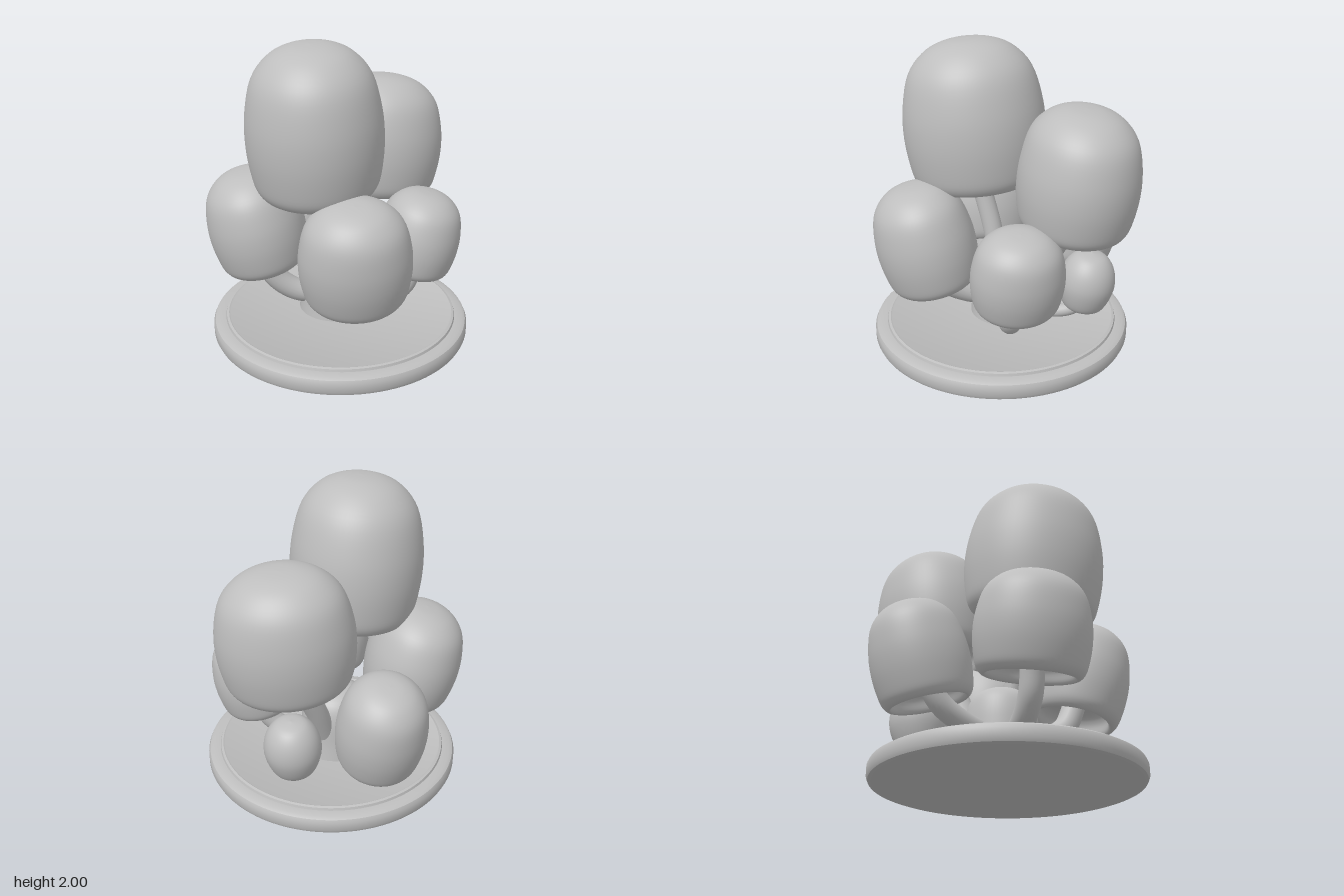
import * as THREE from 'three';
import { toCreasedNormals } from 'three/addons/utils/BufferGeometryUtils.js';

const V = (a) => new THREE.Vector3(...a);
const P = (list) => list.map(([r, y]) => new THREE.Vector2(r, y));

// Mushroom cap section: hollow underside, rolled rim, tall dome (unit radius and height)
const capProfile = new THREE.SplineCurve(P([
  [0, 0.22], [0.5, 0.2], [0.68, 0.13], [0.73, 0.03], [0.79, 0], [0.88, 0.035],
  [0.945, 0.12], [1, 0.33], [0.98, 0.55], [0.86, 0.78], [0.62, 0.92], [0.32, 0.985], [0, 1],
])).getPoints(56);
capProfile.forEach((p) => { p.x = Math.max(p.x, 0); });

export function createModel() {
  const model = new THREE.Group();
  const grey = new THREE.MeshStandardMaterial({ color: 0xbebebe });
  grey.name = 'clay grey';

  const add = (name, geometry, parent = model) => {
    const mesh = new THREE.Mesh(geometry, grey);
    mesh.name = name;
    parent.add(mesh);
    return mesh;
  };

  // Round plinth with a raised inner disc
  const base = add('base', toCreasedNormals(new THREE.LatheGeometry(P([
    [0, 0], [0.825, 0], [0.847, 0.008], [0.857, 0.03], [0.857, 0.085], [0.847, 0.107],
    [0.825, 0.12], [0.775, 0.122], [0.77, 0.138], [0.755, 0.143], [0.745, 0.138], [0, 0.138],
  ]), 96), 0.6));
  base.position.set(0.005, 0, 0.047);

  // Central trunk the stems grow from
  const trunk = add('trunk', new THREE.LatheGeometry(new THREE.SplineCurve(P([
    [0.25, 0.12], [0.235, 0.25], [0.225, 0.42], [0.19, 0.53], [0.11, 0.59], [0, 0.61],
  ])).getPoints(24), 48));
  trunk.position.set(-0.02, 0, 0);

  // centre, half widths (x, z), height, growing direction, stem path and stem radius
  const mushrooms = [
    { name: 'tallMushroom', at: [-0.17, 1.53, 0.185], rx: 0.43, rz: 0.46, h: 0.94, axis: [-0.05, 1, 0.06],
      stem: [[0, 0.4, 0.04], [-0.07, 0.75, 0.09], [-0.13, 1.05, 0.15], [-0.15, 1.35, 0.18]], r: 0.064 },
    { name: 'rearTallMushroom', at: [0.31, 1.255, -0.383], rx: 0.43, rz: 0.385, h: 0.79, axis: [0.07, 1, -0.07],
      stem: [[0.04, 0.25, -0.12], [0.12, 0.55, -0.24], [0.22, 0.82, -0.33], [0.28, 1.1, -0.37]], r: 0.072 },
    { name: 'rightMushroom', at: [-0.555, 0.835, 0.04], rx: 0.315, rz: 0.36, h: 0.65, axis: [-0.22, 1, 0],
      stem: [[-0.1, 0.24, 0.02], [-0.3, 0.29, 0.04], [-0.44, 0.41, 0.05], [-0.49, 0.55, 0.05], [-0.53, 0.75, 0.04]], r: 0.075 },
    { name: 'frontMushroom', at: [0.05, 0.8, 0.57], rx: 0.35, rz: 0.32, h: 0.68, axis: [-0.04, 1, 0.22],
      stem: [[-0.02, 0.26, 0.1], [-0.02, 0.31, 0.28], [-0.01, 0.39, 0.41], [0.01, 0.52, 0.48], [0.03, 0.72, 0.54]], r: 0.075 },
    { name: 'leftMushroom', at: [0.53, 0.71, 0.067], rx: 0.275, rz: 0.295, h: 0.545, axis: [0.2, 1, 0],
      stem: [[0.17, 0.21, 0.06], [0.31, 0.215, 0.07], [0.43, 0.3, 0.08], [0.48, 0.42, 0.08], [0.51, 0.62, 0.07]], r: 0.068 },
    { name: 'backMushroom', at: [-0.275, 0.69, -0.59], rx: 0.285, rz: 0.3, h: 0.64, axis: [-0.08, 1, -0.26],
      stem: [[-0.1, 0.27, -0.1], [-0.18, 0.31, -0.28], [-0.23, 0.39, -0.43], [-0.25, 0.5, -0.51], [-0.27, 0.65, -0.57]], r: 0.07 },
  ];

  const up = new THREE.Vector3(0, 1, 0);
  const addStem = (group, path, r) => {
    const curve = new THREE.CatmullRomCurve3(path.map(V));
    add('stem', new THREE.TubeGeometry(curve, 32, r, 20), group);
    add('stemRoot', new THREE.SphereGeometry(r, 20, 12), group).position.copy(V(path[0]));
  };

  for (const m of mushrooms) {
    const group = new THREE.Group();
    group.name = m.name;
    model.add(group);
    const cap = add('cap', new THREE.LatheGeometry(capProfile, 64).translate(0, -0.5, 0), group);
    cap.scale.set(m.rx, m.h, m.rz);
    cap.position.copy(V(m.at));
    cap.quaternion.setFromUnitVectors(up, V(m.axis).normalize());
    addStem(group, m.stem, m.r);
  }

  // Small closed bud at the back, egg shaped with a fuller lower half
  const budGroup = new THREE.Group();
  budGroup.name = 'smallBud';
  model.add(budGroup);
  const egg = new THREE.LatheGeometry(new THREE.SplineCurve(P([
    [0, -0.21], [0.1, -0.2], [0.15, -0.15], [0.185, -0.02], [0.165, 0.1], [0.1, 0.185], [0, 0.21],
  ])).getPoints(32), 40);
  const bud = add('bud', egg, budGroup);
  bud.position.set(0.28, 0.445, -0.468);
  bud.quaternion.setFromUnitVectors(up, V([0.05, 1, -0.12]).normalize());
  addStem(budGroup, [[0.1, 0.19, -0.16], [0.19, 0.19, -0.29], [0.25, 0.24, -0.4], [0.275, 0.34, -0.45]], 0.043);

  return model;
}
